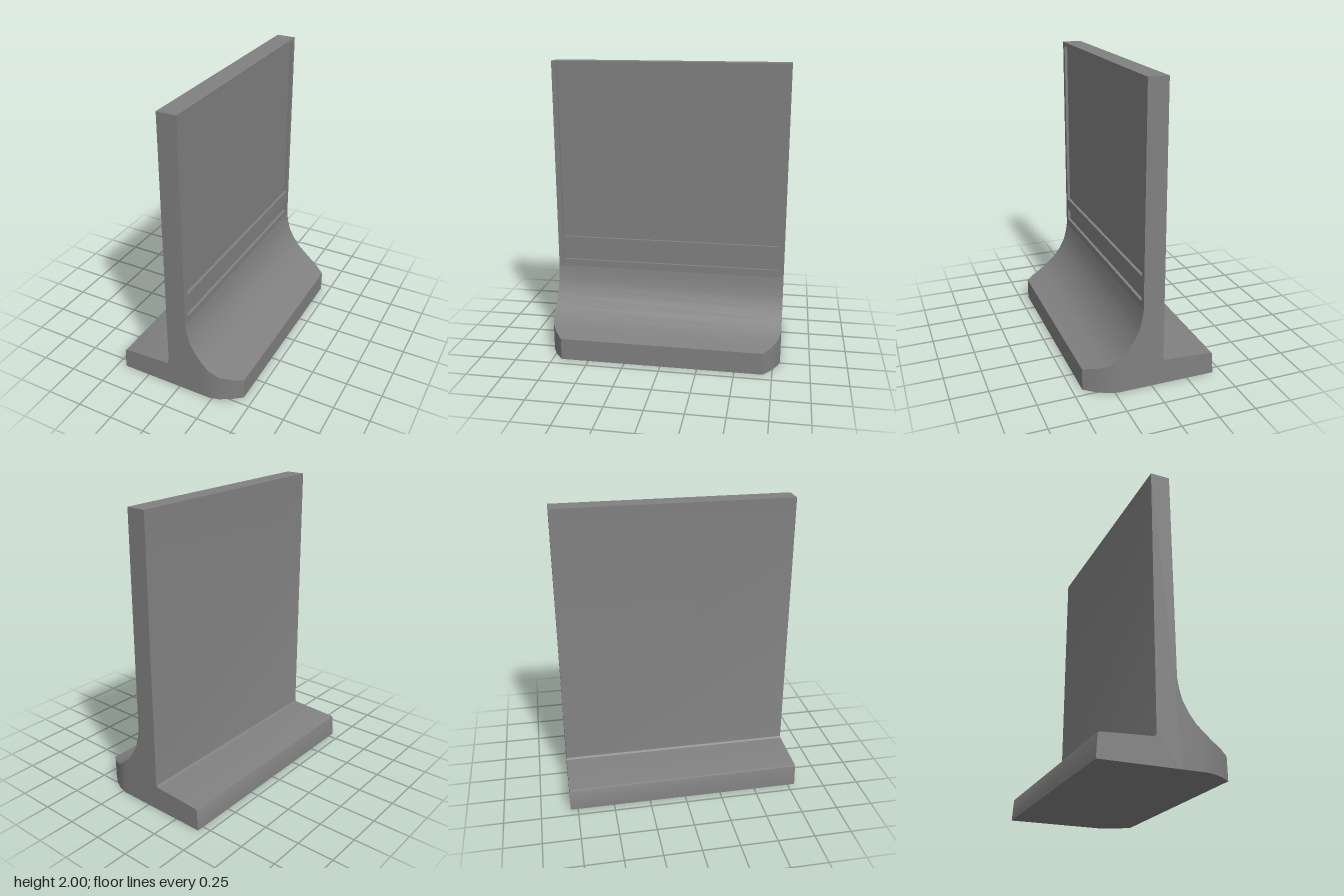
import * as THREE from 'three';
import { toCreasedNormals } from 'three/addons/utils/BufferGeometryUtils.js';

const HALF = 0.8;     // half length along z
const FACE = 0.065;   // front face of the wall
const RECESS = 0.02;  // depth of the sunken panels

function rectangle(path, half, y0, y1) {
  path.moveTo(-half, y0);
  path.lineTo(half, y0);
  path.lineTo(half, y1);
  path.lineTo(-half, y1);
  path.closePath();
  return path;
}

export function createModel() {
  const group = new THREE.Group();
  const concrete = new THREE.MeshStandardMaterial({ color: 0x808080 });
  concrete.name = 'concrete grey';
  const add = (name, geometry) => {
    const mesh = new THREE.Mesh(toCreasedNormals(geometry, 0.5), concrete);
    mesh.name = name;
    group.add(mesh);
  };

  // Wall stem and heel: one profile run along z
  const profile = new THREE.Shape([
    [-0.44, 0], [FACE, 0], [FACE, 0.59], [FACE - RECESS, 0.59], [FACE - RECESS, 2],
    [-0.068, 2], [-0.078, 0.195], [-0.081, 0.18], [-0.092, 0.171],
    [-0.415, 0.154], [-0.426, 0.151], [-0.431, 0.142],
  ].map(([x, y]) => new THREE.Vector2(x, y)));
  const stem = new THREE.ExtrudeGeometry(profile, { depth: 2 * HALF, bevelEnabled: false });
  add('wallAndHeel', stem.translate(0, 0, -HALF));

  // Face frame with openings for the large panel and the narrow strip
  const face = rectangle(new THREE.Shape(), HALF, 0.59, 2);
  face.holes.push(
    rectangle(new THREE.Path(), 0.765, 0.77, 1.97),
    rectangle(new THREE.Path(), 0.765, 0.6, 0.685),
  );
  const frame = new THREE.ExtrudeGeometry(face, { depth: RECESS, bevelEnabled: false });
  add('faceFrame', frame.rotateY(Math.PI / 2).translate(FACE - RECESS, 0, 0));

  // Curved toe: columns of [x, top height, half length], rounded in plan
  const columns = [
    [FACE, 0.55, HALF], [0.075, 0.485, HALF], [0.095, 0.412, HALF], [0.13, 0.345, HALF],
    [0.178, 0.28, HALF], [0.232, 0.23, HALF], [0.295, 0.192, 0.783],
    [0.365, 0.17, 0.745], [0.435, 0.15, 0.69],
  ];
  const n = columns.length - 1;
  const toe = new THREE.BoxGeometry(n, 1, 2, n, 1, 1);
  const p = toe.attributes.position;
  for (let i = 0; i < p.count; i++) {
    const [x, top, half] = columns[Math.round(p.getX(i) + n / 2)];
    p.setXYZ(i, x, (p.getY(i) + 0.5) * top, p.getZ(i) * half);
  }
  add('curvedToe', toe);

  return group;
}
